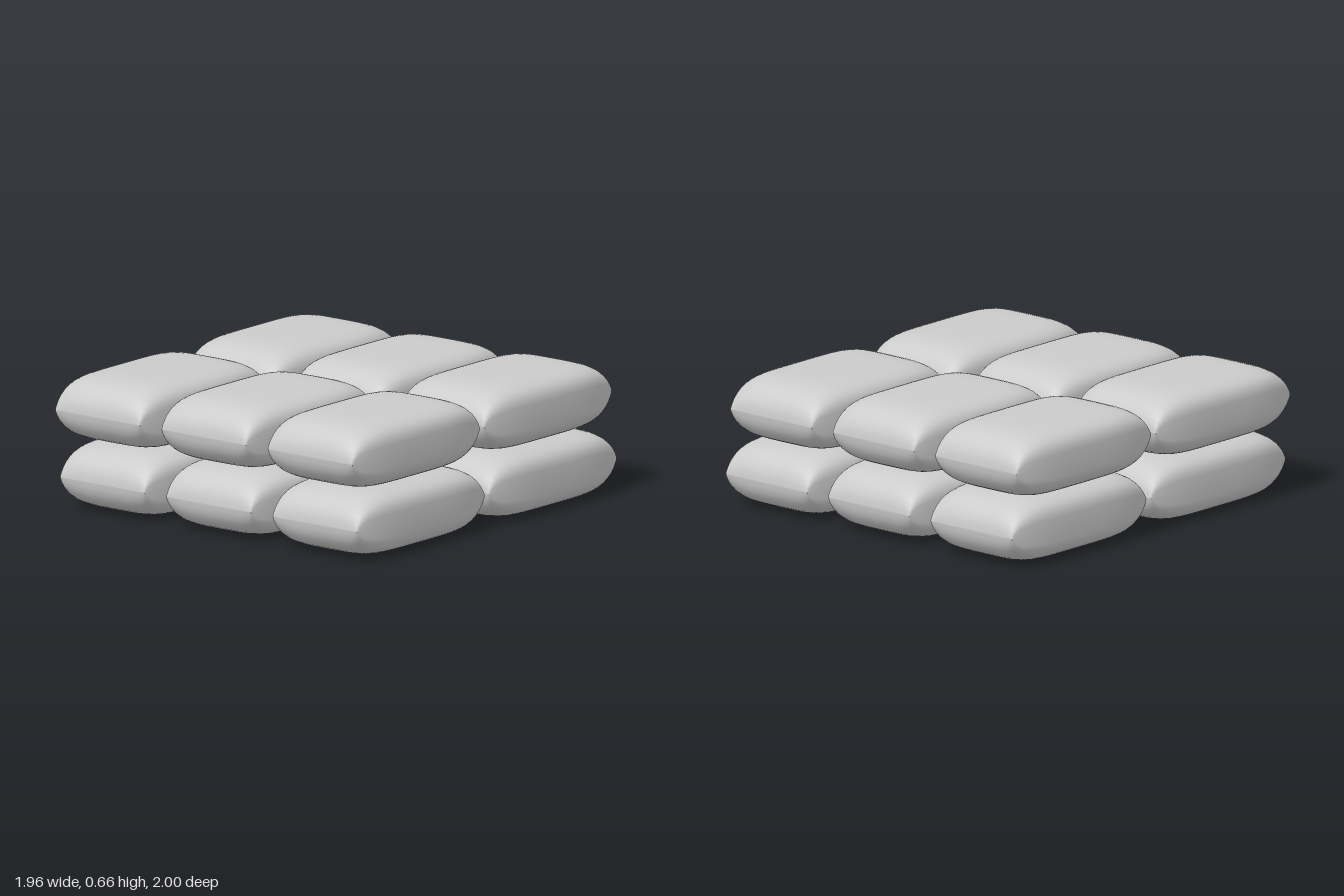
import * as THREE from 'three';

const HALF_LENGTH = 0.491, HALF_HEIGHT = 0.163, END_WIDTH = 0.262, BULGE = 0.047;
const RINGS = 28, SIDES = 48;

// Filled bag: rounded-rectangle rings along z, pinched to a flat seam at both ends
function bagGeometry() {
  const positions = [], indices = [];
  const soften = (v) => Math.sign(v) * Math.sqrt(Math.abs(v));
  for (let i = 0; i <= RINGS; i++) {
    const u = -Math.cos((Math.PI * i) / RINGS);
    const a = Math.min(1, Math.abs(u));
    const h = HALF_HEIGHT * Math.pow(Math.max(0, 1 - a ** 6), 0.54);
    const w = END_WIDTH + BULGE * (1 - a ** 3.5);
    for (let j = 0; j < SIDES; j++) {
      const t = (2 * Math.PI * j) / SIDES;
      positions.push(w * soften(Math.cos(t)), h * soften(Math.sin(t)), u * HALF_LENGTH);
    }
  }
  for (let i = 0; i < RINGS; i++) {
    for (let j = 0; j < SIDES; j++) {
      const k = (j + 1) % SIDES;
      const a = i * SIDES + j, b = i * SIDES + k;
      const c = a + SIDES, d = b + SIDES;
      indices.push(a, b, d, a, d, c);
    }
  }
  const geometry = new THREE.BufferGeometry();
  geometry.setAttribute('position', new THREE.Float32BufferAttribute(positions, 3));
  geometry.setIndex(indices);
  geometry.computeVertexNormals();
  return geometry;
}

export function createModel() {
  const model = new THREE.Group();
  model.name = 'sandbagStack';
  const geometry = bagGeometry();
  const material = new THREE.MeshStandardMaterial({ color: 0xcccccc });

  // Two layers of 3 x 2 bags, the upper layer shifted slightly sideways
  const layers = [
    { name: 'lowerBag', y: 0.164, shift: 0.015 },
    { name: 'upperBag', y: 0.493, shift: -0.015 },
  ];
  for (const { name, y, shift } of layers) {
    for (const column of [-1, 0, 1]) {
      for (const row of [-1, 1]) {
        const bag = new THREE.Mesh(geometry, material);
        bag.name = name;
        bag.position.set(column * 0.658 + shift, y, row * 0.508);
        model.add(bag);
      }
    }
  }
  return model;
}
